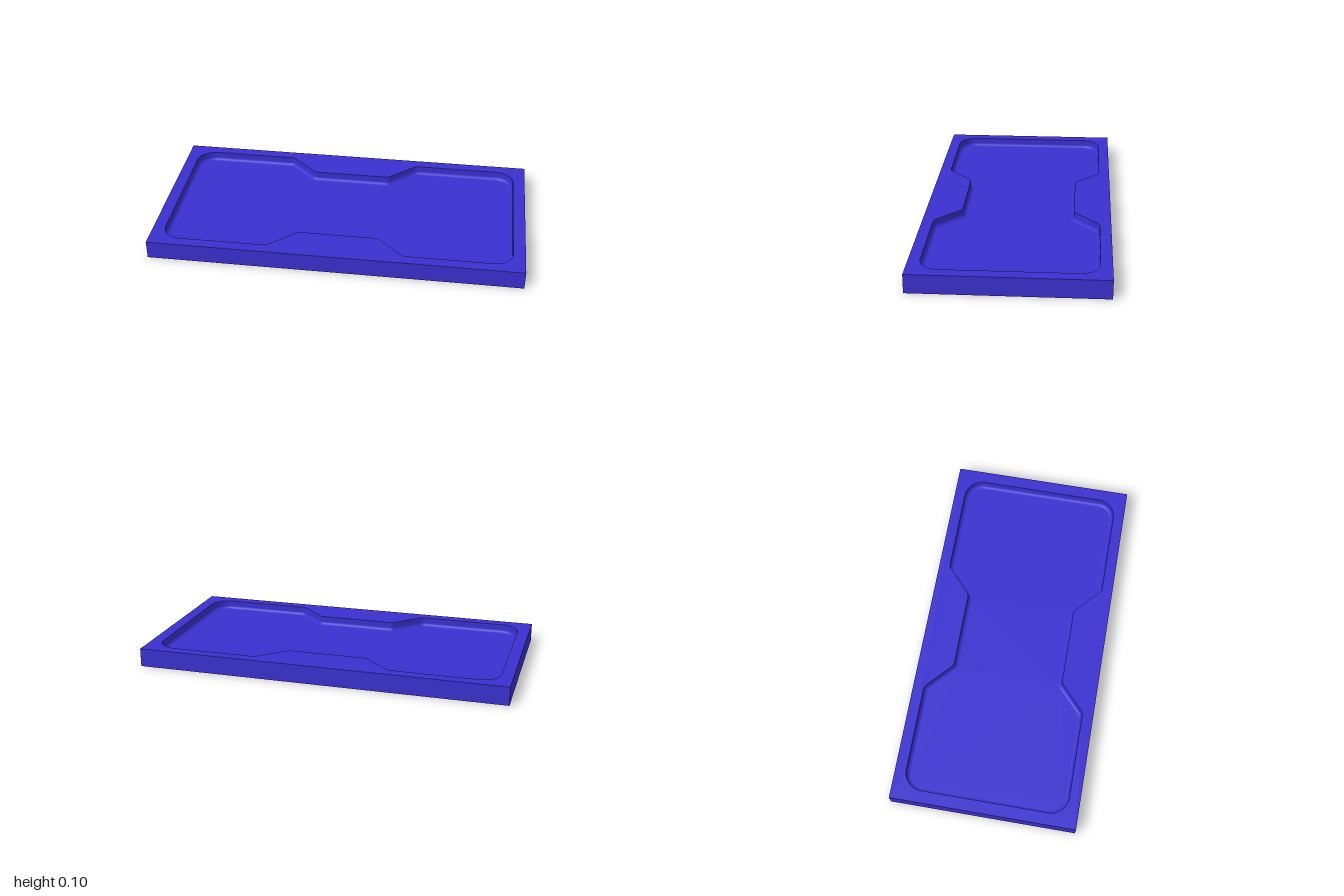
import * as THREE from 'three';

const W = 2, D = 1, H = 0.1;       // slab size
const FLOOR = 0.05, COVE = 0.02;   // pocket floor height, fillet radius at its foot
const ARC_STEPS = 10, COVE_STEPS = 8;

// Pocket corners, counter-clockwise: [x, y, corner radius]
const half = [
  [0.935, -0.44, 0.1], [0.935, 0.44, 0.1],
  [0.365, 0.44, 0.04], [0.215, 0.302, 0.04],
];
const mirrored = half.map(([x, y, r]) => [-x, -y, r]);
const corners = [...half, ...mirrored.slice(2, 2)];
corners.push([-0.215, 0.302, 0.04], [-0.365, 0.44, 0.04]);
corners.push(...mirrored);

// right half of the front notch closes the loop
corners.push([0.215, -0.302, 0.04], [0.365, -0.44, 0.04]);

// Rounded outline as points with outward normals
function roundedOutline(pts) {
  const out = [];
  pts.forEach(([x, y, r], i) => {
    const p = new THREE.Vector2(x, y);
    const prev = pts[(i + pts.length - 1) % pts.length], next = pts[(i + 1) % pts.length];
    const t1 = new THREE.Vector2(x - prev[0], y - prev[1]).normalize();
    const t2 = new THREE.Vector2(next[0] - x, next[1] - y).normalize();
    const turn = Math.atan2(t1.cross(t2), t1.dot(t2));
    const s = Math.sign(turn);
    const start = p.clone().addScaledVector(t1, -r * Math.tan(Math.abs(turn) / 2));
    const n1 = new THREE.Vector2(t1.y, -t1.x);
    const centre = start.clone().addScaledVector(n1, -r * s);
    for (let k = 0; k <= ARC_STEPS; k++) {
      const n = n1.clone().rotateAround(new THREE.Vector2(), (turn * k) / ARC_STEPS);
      out.push({ p: centre.clone().addScaledVector(n, r * s), n });
    }
  });
  return out;
}

const inset = (outline, d) => outline.map(({ p, n }) => p.clone().addScaledVector(n, -d));

// Vertical wall running into a quarter-round cove
function pocketWall(outline) {
  const rings = [{ d: 0, h: H, a: 0 }];
  for (let k = 0; k <= COVE_STEPS; k++) {
    const a = (k / COVE_STEPS) * Math.PI / 2;
    rings.push({ d: COVE * (1 - Math.cos(a)), h: FLOOR + COVE * (1 - Math.sin(a)), a });
  }
  const pos = [], nor = [], idx = [], N = outline.length;
  rings.forEach(({ d, h, a }, i) => {
    outline.forEach(({ p, n }, j) => {
      pos.push(p.x - n.x * d, p.y - n.y * d, h);
      nor.push(-n.x * Math.cos(a), -n.y * Math.cos(a), Math.sin(a));
      if (i === rings.length - 1) return;
      const A = i * N + j, B = i * N + (j + 1) % N;
      idx.push(A, B, A + N, B, B + N, A + N);
    });
  });
  const g = new THREE.BufferGeometry();
  g.setAttribute('position', new THREE.Float32BufferAttribute(pos, 3));
  g.setAttribute('normal', new THREE.Float32BufferAttribute(nor, 3));
  g.setIndex(idx);
  return g;
}

export function createModel() {
  const group = new THREE.Group();
  group.name = 'tray';
  const material = new THREE.MeshStandardMaterial({ color: 0x3a30d0 });
  const add = (name, geometry) => {
    const mesh = new THREE.Mesh(geometry, material);
    mesh.name = name;
    group.add(mesh);
  };
  const lay = (g, y = 0) => g.rotateX(-Math.PI / 2).translate(0, y, 0);
  const outline = roundedOutline(corners);

  // Sides and underside: a box without its top face
  const body = new THREE.BoxGeometry(W, H, D).translate(0, H / 2, 0);
  const faces = Array.from(body.index.array);
  faces.splice(12, 6);
  body.setIndex(faces);
  body.clearGroups();
  add('body', body);

  // Flat rim around the pocket
  const rim = new THREE.Shape([[-1, -1], [1, -1], [1, 1], [-1, 1]]
    .map(([x, y]) => new THREE.Vector2(x * W / 2, y * D / 2)));
  rim.holes.push(new THREE.Path(inset(outline, 0)));
  add('rim', lay(new THREE.ShapeGeometry(rim), H));

  add('pocketWall', lay(pocketWall(outline)));
  add('pocketFloor', lay(new THREE.ShapeGeometry(new THREE.Shape(inset(outline, COVE))), FLOOR));
  return group;
}
